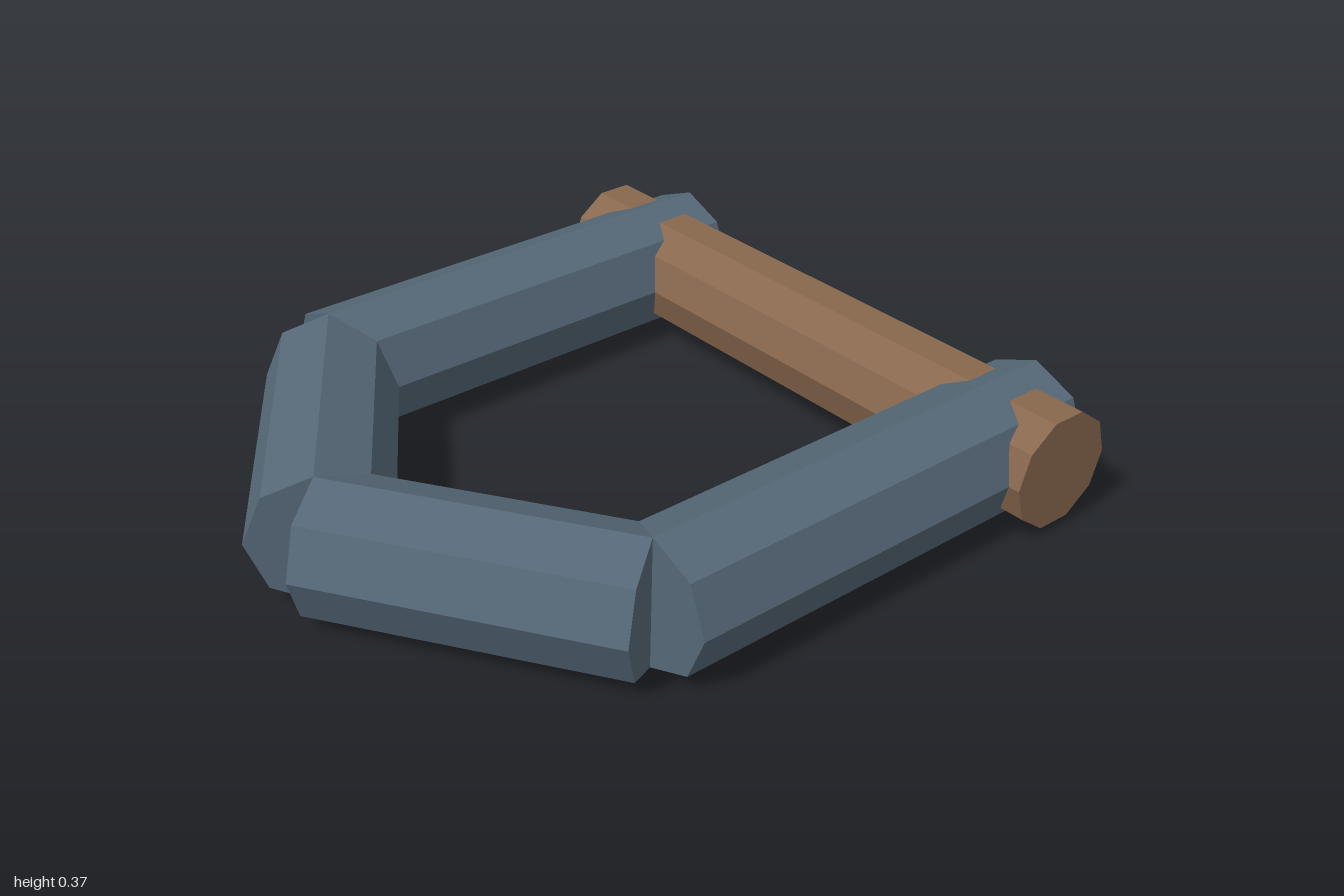
import * as THREE from 'three';

export function createModel() {
  const group = new THREE.Group();
  const steel = new THREE.MeshStandardMaterial({ color: 0x556877, flatShading: true });
  steel.name = 'blue grey steel';
  const brown = new THREE.MeshStandardMaterial({ color: 0x88674d, flatShading: true });
  brown.name = 'brown';

  const R = 0.187; // bar radius, also the height of every bar's axis

  // Straight faceted bar between two floor-plan points [x, z]
  function bar(name, a, b, radius, sides, material) {
    const start = new THREE.Vector3(a[0], R, a[1]);
    const end = new THREE.Vector3(b[0], R, b[1]);
    const dir = end.clone().sub(start);
    const mesh = new THREE.Mesh(
      new THREE.CylinderGeometry(radius, radius, dir.length(), sides), material);
    // Local z stays level and across the bar, so an edge lies at mid-height
    const axis = dir.clone().normalize();
    const up = new THREE.Vector3(0, 1, 0);
    const across = up.clone().cross(axis);
    mesh.quaternion.setFromRotationMatrix(
      new THREE.Matrix4().makeBasis(axis.clone().cross(across), axis, across));
    mesh.position.copy(start).add(end).multiplyScalar(0.5);
    mesh.name = name;
    group.add(mesh);
  }

  // Two side arms and the angled front bars that meet in a point
  for (const [side, s] of [['left', 1], ['right', -1]]) {
    bar(side + 'Arm', [s * 0.7, -0.963], [s * 0.7, 0.371], R, 8, steel);
    bar(side + 'FrontBar', [s * 0.7, 0.371], [0, 0.842], R, 8, steel);
  }

  // Ten-sided cross pin through the arm ends
  bar('crossPin', [-0.92, -0.833], [0.92, -0.833], 0.167, 10, brown);

  return group;
}
